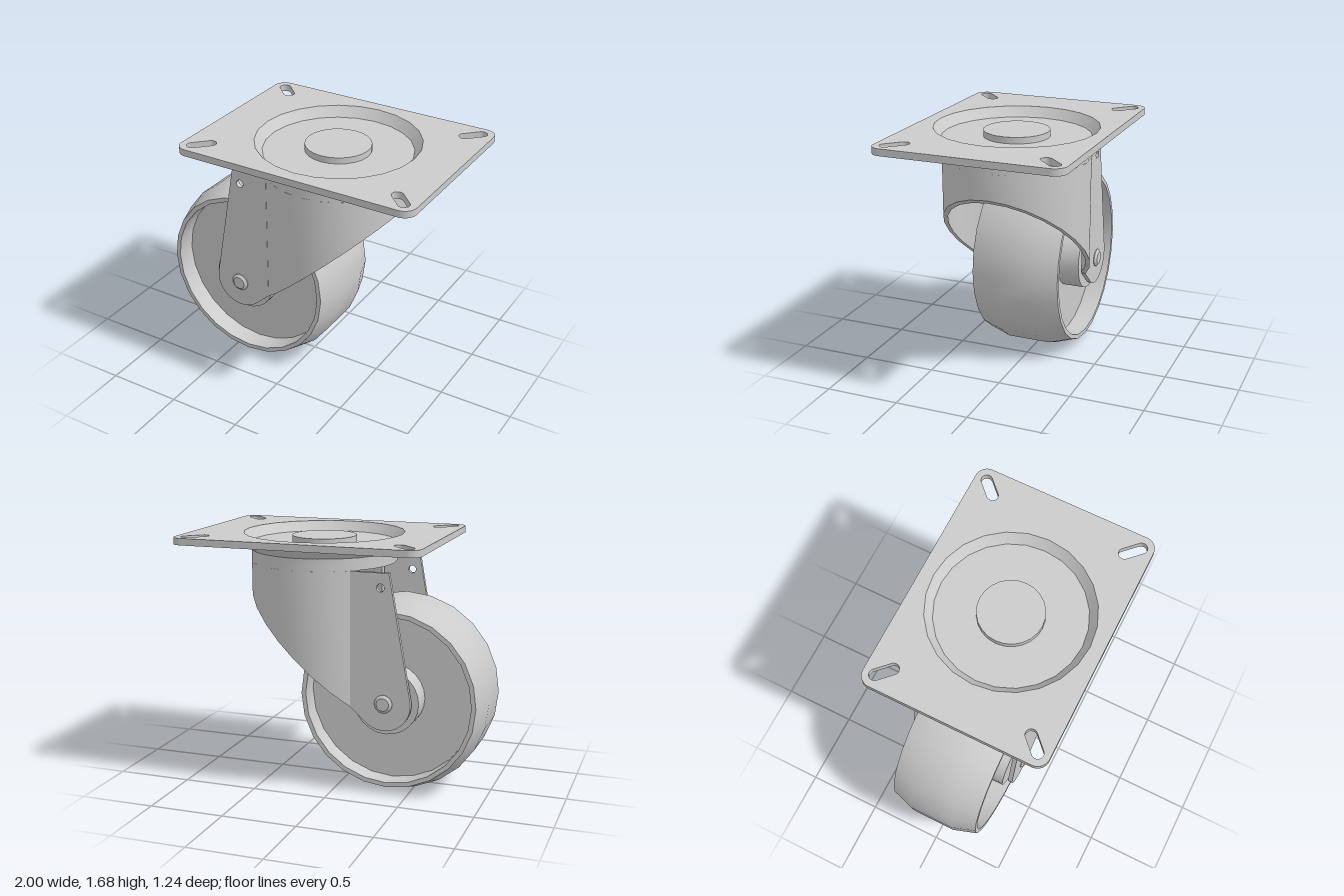
import * as THREE from 'three';
import { toCreasedNormals } from 'three/addons/utils/BufferGeometryUtils.js';

const SIDES = 24;
const PIVOT_X = 0.175;               // swivel axis
const WHEEL = { x: -0.36, y: 0.64 }; // wheel axis

export function createModel() {
  const group = new THREE.Group();
  const material = new THREE.MeshStandardMaterial({ color: 0xcccccc });

  function add(name, geometry, x = 0, y = 0, z = 0) {
    const mesh = new THREE.Mesh(toCreasedNormals(geometry, 0.5), material);
    mesh.name = name;
    mesh.position.set(x, y, z);
    group.add(mesh);
    return mesh;
  }
  const lathe = (points) =>
    new THREE.LatheGeometry(points.map(([r, y]) => new THREE.Vector2(r, y)), SIDES);

  // Mounting plate: rounded rectangle with a round opening and four diagonal slots
  const hx = 0.825, hz = 0.622, r = 0.08;
  const plate = new THREE.Shape();
  plate.absarc(hx - r, hz - r, r, 0, Math.PI / 2);
  plate.absarc(-hx + r, hz - r, r, Math.PI / 2, Math.PI);
  plate.absarc(-hx + r, -hz + r, r, Math.PI, Math.PI * 1.5);
  plate.absarc(hx - r, -hz + r, r, Math.PI * 1.5, Math.PI * 2);
  plate.closePath();
  plate.holes.push(new THREE.Path().absarc(0, 0, 0.535, 0, Math.PI * 2));
  for (const sx of [-1, 1]) {
    for (const sy of [-1, 1]) {
      const a = Math.atan2(sy, sx);
      const slot = new THREE.Path();
      slot.absarc(sx * 0.742, sy * 0.542, 0.037, a - Math.PI / 2, a + Math.PI / 2);
      slot.absarc(sx * 0.66, sy * 0.46, 0.037, a + Math.PI / 2, a + Math.PI * 1.5);
      slot.closePath();
      plate.holes.push(slot);
    }
  }
  const plateGeometry = new THREE.ExtrudeGeometry(plate, {
    depth: 0.045, bevelEnabled: false, curveSegments: 12,
  });
  plateGeometry.rotateX(-Math.PI / 2);
  add('mountingPlate', plateGeometry, PIVOT_X, 1.635);

  // Pressed dish below the plate
  add('swivelDish', lathe([
    [0, 1.57], [0.485, 1.57], [0.535, 1.635], [0.535, 1.68], [0.485, 1.615], [0, 1.615],
  ]), PIVOT_X);

  // Kingpin head above the dish, stepped underside below the fork crown
  add('kingpinHead', new THREE.CylinderGeometry(0.215, 0.215, 0.05, SIDES), PIVOT_X, 1.632);
  add('forkCrown', new THREE.CylinderGeometry(0.485, 0.485, 0.08, SIDES), PIVOT_X, 1.53);
  add('kingpinBase', lathe([
    [0, 1.42], [0.13, 1.42], [0.13, 1.46], [0.27, 1.46], [0.27, 1.5], [0, 1.5],
  ]), PIVOT_X);

  add('forkShell', forkShell(), PIVOT_X);

  // Flat fork arms, tangent to a rounded lower end
  const arm = new THREE.Shape();
  arm.moveTo(-0.135, 1.49);
  arm.lineTo(-0.39, 1.49);
  arm.absarc(WHEEL.x, WHEEL.y, 0.18, Math.PI * 0.945, Math.PI * 1.734);
  arm.lineTo(-0.135, 0.6);
  arm.closePath();
  arm.holes.push(new THREE.Path().absarc(-0.335, 1.395, 0.026, 0, Math.PI * 2));
  for (const side of [-1, 1]) {
    const geometry = new THREE.ExtrudeGeometry(arm, {
      depth: 0.03, bevelEnabled: false, curveSegments: 8,
    });
    add(side > 0 ? 'frontArm' : 'backArm', geometry, 0, 0, side * 0.36 - 0.015);
  }

  // Axle with chamfered ends
  const axle = lathe([
    [0, -0.395], [0.042, -0.395], [0.06, -0.38], [0.06, 0.38], [0.042, 0.395], [0, 0.395],
  ]);
  add('axle', axle.rotateX(Math.PI / 2), WHEEL.x, WHEEL.y);

  // Wheel: hub, recessed web, rim and crowned tread
  const half = [
    [0, 0.32], [0.22, 0.32], [0.22, 0.17], [0.56, 0.17], [0.56, 0.305], [0.59, 0.305], [0.64, 0.15],
  ];
  const profile = [...half.map(([rad, z]) => [rad, -z]), ...half.slice().reverse()];
  add('wheel', lathe(profile).rotateX(Math.PI / 2), WHEEL.x, WHEEL.y);

  return group;
}

// Curved fork wall: part of a tube, cut off below by a slanted plane
function forkShell() {
  const outer = 0.485, inner = 0.455, top = 1.49, steps = 18;
  const end = Math.acos((-0.135 - PIVOT_X) / outer);
  const cut = (x) => 0.6 + 0.906 * (x + PIVOT_X + 0.135);
  const positions = [], index = [];
  for (let i = 0; i <= steps; i++) {
    const a = -end + (2 * end * i) / steps;
    const c = Math.cos(a), s = Math.sin(a);
    for (const [rad, y] of [
      [outer, top], [outer, cut(outer * c)], [inner, cut(inner * c)], [inner, top],
    ]) positions.push(rad * c, y, rad * s);
    if (i === steps) break;
    for (let j = 0; j < 4; j++) {
      const p = i * 4 + j, q = i * 4 + ((j + 1) % 4);
      index.push(p, p + 4, q, q, p + 4, q + 4);
    }
  }
  const n = steps * 4;
  index.push(0, 1, 2, 0, 2, 3, n, n + 2, n + 1, n, n + 3, n + 2);
  const geometry = new THREE.BufferGeometry();
  geometry.setAttribute('position', new THREE.Float32BufferAttribute(positions, 3));
  geometry.setIndex(index);
  return geometry;
}
